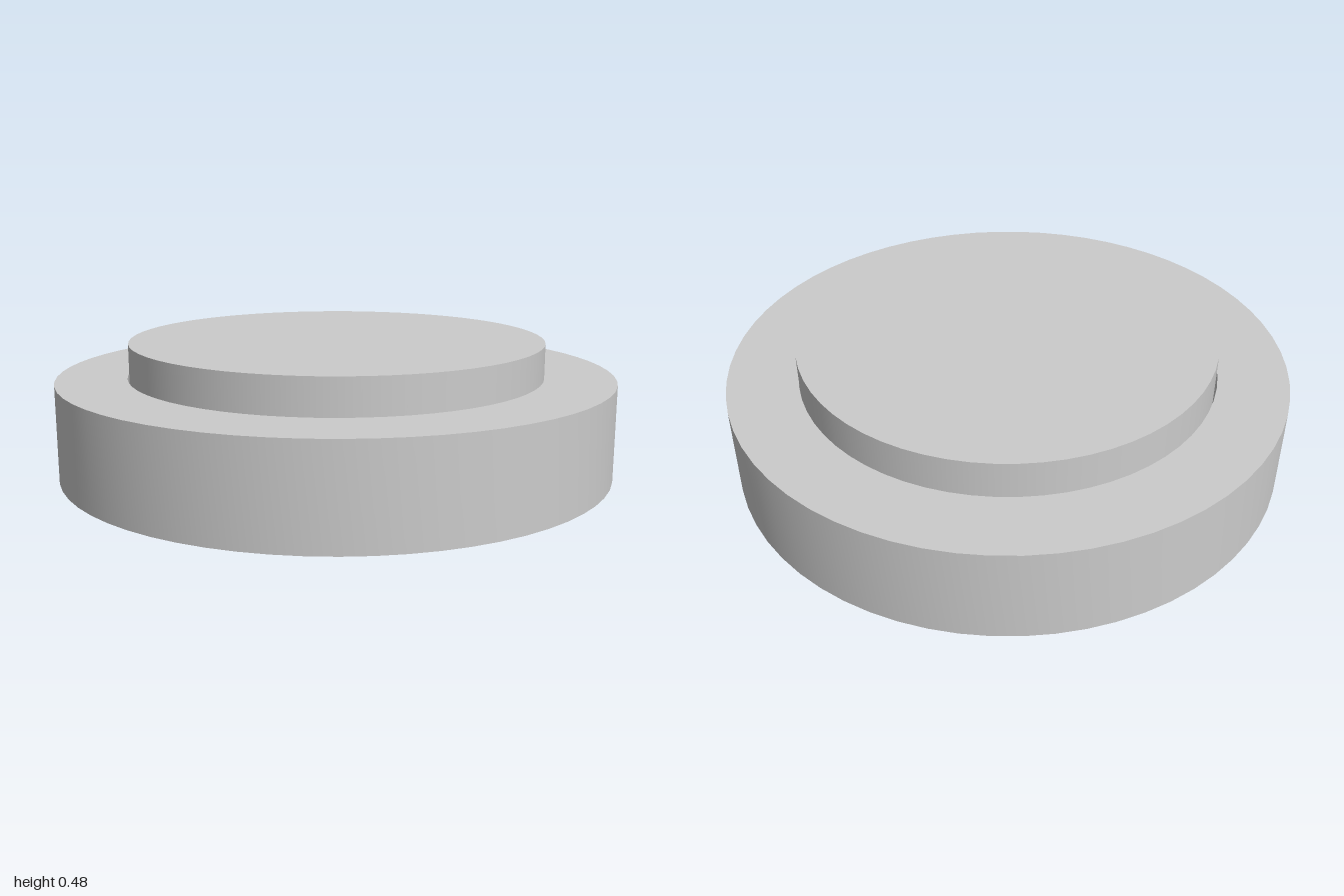
import * as THREE from 'three';
import { toCreasedNormals } from 'three/addons/utils/BufferGeometryUtils.js';

const SIDES = 64;

export function createModel() {
  const group = new THREE.Group();
  const material = new THREE.MeshStandardMaterial({ color: 0xcccccc });

  // Wide outer ring, open through the middle
  const inner = 0.75, outer = 1, bottom = 0.015, top = 0.355;
  const profile = [
    [inner, bottom], [outer, bottom], [outer, top], [inner, top], [inner, bottom],
  ].map(([r, y]) => new THREE.Vector2(r, y));
  const ringGeometry = toCreasedNormals(new THREE.LatheGeometry(profile, SIDES), 0.6);
  const ring = new THREE.Mesh(ringGeometry, material);
  ring.name = 'outerRing';
  group.add(ring);

  // Solid core, standing proud of the ring and seated slightly forward in its bore
  const height = 0.48;
  const core = new THREE.Mesh(new THREE.CylinderGeometry(0.746, 0.746, height, SIDES), material);
  core.name = 'coreDisc';
  core.position.set(0, height / 2, 0.004);
  group.add(core);

  return group;
}
